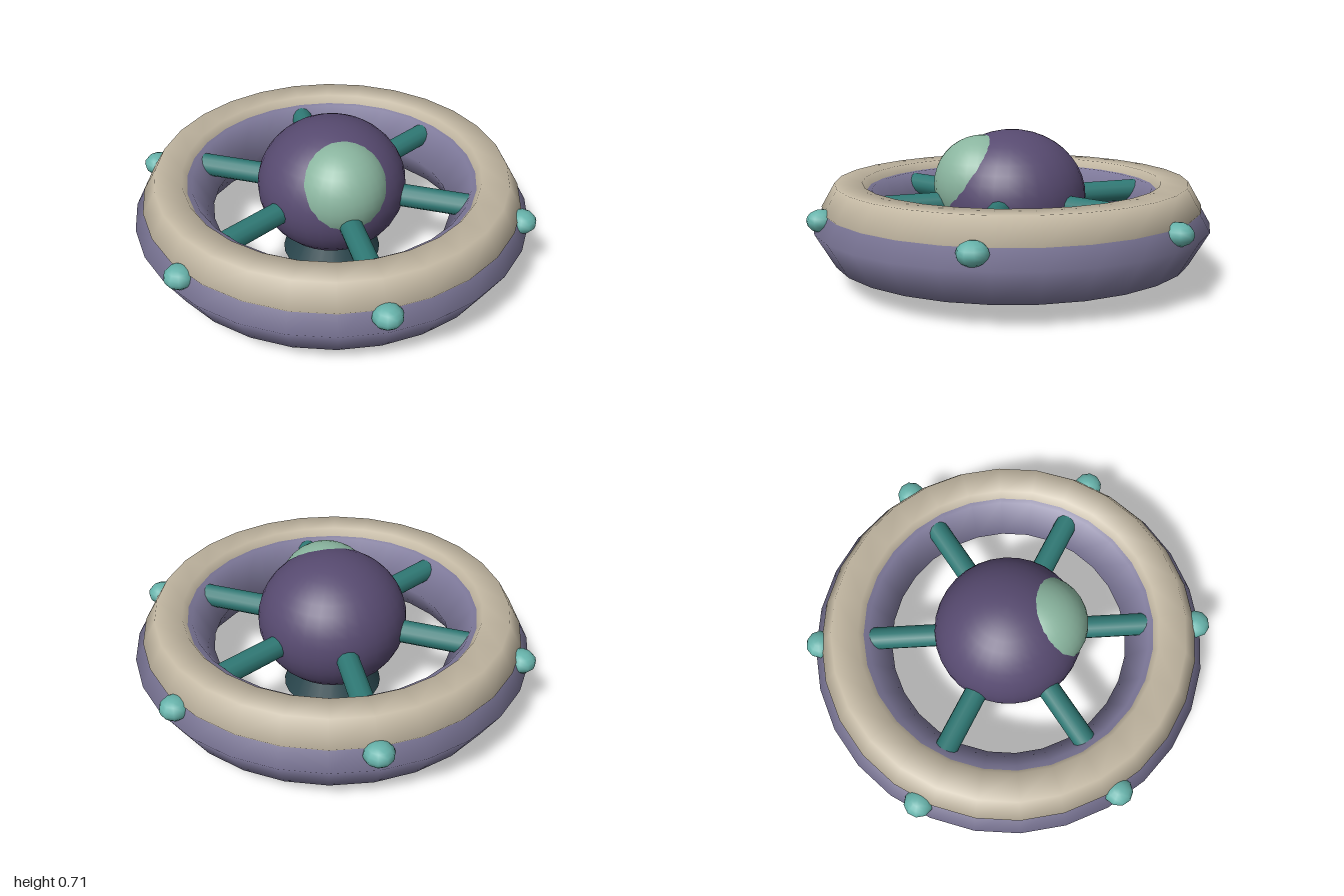
import * as THREE from 'three';

const paint = (name, color) => {
  const m = new THREE.MeshStandardMaterial({ color });
  m.name = name;
  return m;
};

export function createModel() {
  const model = new THREE.Group();
  model.name = 'ringShip';

  const mauve = paint('mauve', 0x7d7899);
  const sand = paint('sand', 0xc2b7a2);
  const plum = paint('plum', 0x574a70);
  const sage = paint('sage', 0x8ab59f);
  const teal = paint('teal', 0x2f7975);
  const aqua = paint('aqua', 0x66b2aa);
  const slate = paint('slate', 0x29454c);

  const add = (name, geometry, material, parent = model) => {
    const mesh = new THREE.Mesh(geometry, material);
    mesh.name = name;
    parent.add(mesh);
    return mesh;
  };

  // Six-sided ring lying flat
  const ring = (name, radius, tube, y, material) =>
    add(name, new THREE.TorusGeometry(radius, tube, 6, 28).rotateX(Math.PI / 2), material).position.y = y;
  ring('hullRing', 0.775, 0.19, 0.27, mauve);
  ring('upperRing', 0.79, 0.13, 0.36, sand);

  // Central cabin, slightly flattened, with a window bulging from its front
  const cabin = add('cabin', new THREE.SphereGeometry(0.363, 32, 20), plum);
  cabin.scale.y = 0.895;
  cabin.position.y = 0.39;
  add('cabinWindow', new THREE.SphereGeometry(0.235, 28, 18), sage).position.set(0, 0.46, 0.15);

  // Flared foot under the cabin
  add('foot', new THREE.CylinderGeometry(0.153, 0.245, 0.18, 24), slate).position.y = 0.09;

  // Spokes and rim lights, one pair every 60 degrees
  const spokeGeometry = new THREE.CylinderGeometry(0.055, 0.055, 0.5, 12).rotateX(Math.PI / 2);
  const lightGeometry = new THREE.SphereGeometry(0.07, 10, 8).scale(1, 0.76, 1);
  for (let i = 0; i < 6; i++) {
    const arm = new THREE.Group();
    arm.name = 'arm';
    arm.rotation.y = (i * Math.PI) / 3;
    model.add(arm);
    add('spoke', spokeGeometry, teal, arm).position.set(0, 0.375, 0.45);
    add('rimLight', lightGeometry, aqua, arm).position.set(0, 0.333, 0.93);
  }

  return model;
}
